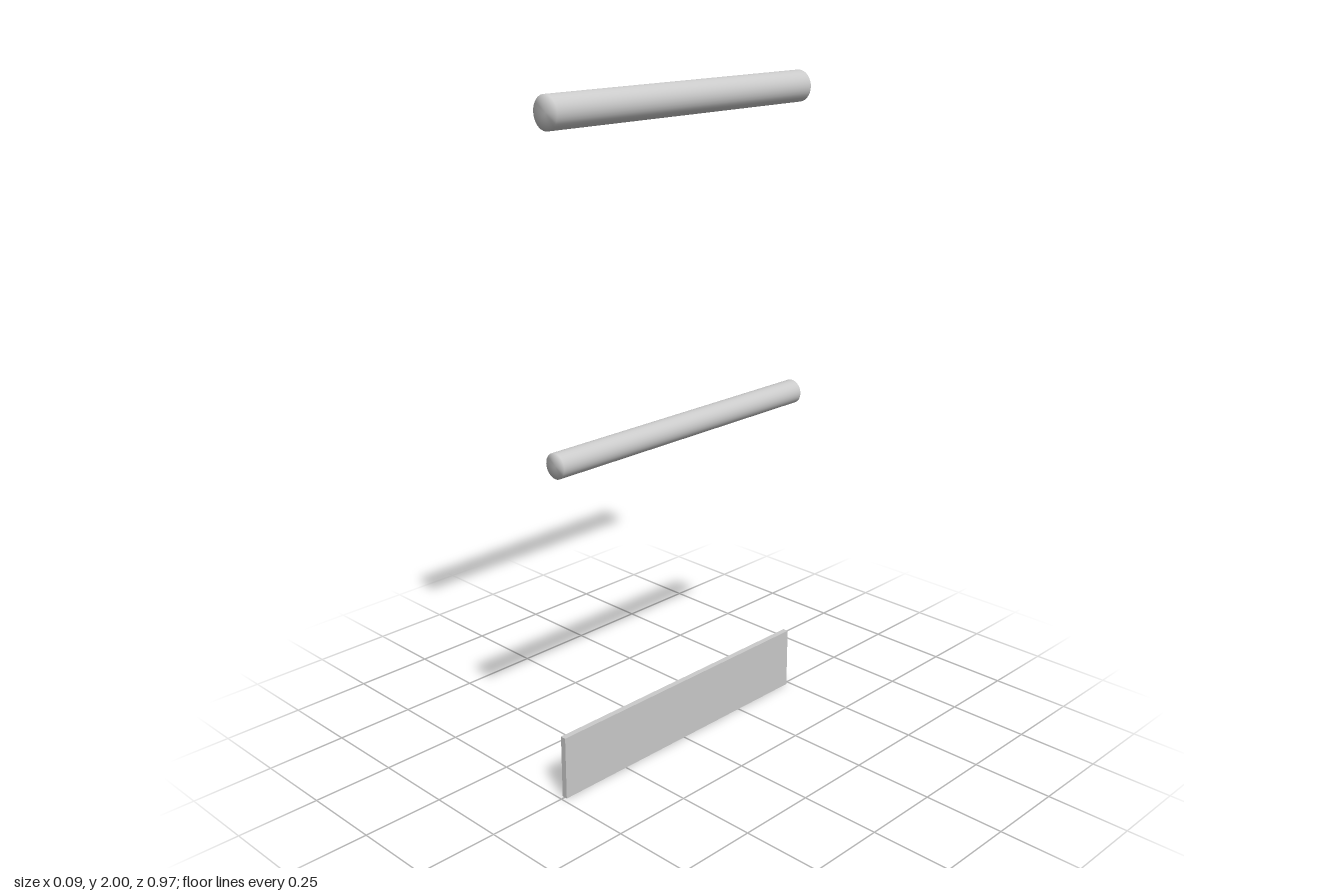
import * as THREE from 'three';
import { mergeVertices } from 'three/addons/utils/BufferGeometryUtils.js';

const LENGTH = 0.974;
const material = new THREE.MeshStandardMaterial({ color: 0xcccccc });

// Round bar along z, with normals blended across the end rims
function makeBar(name, radius, y) {
  let geometry = new THREE.CylinderGeometry(radius, radius, LENGTH, 32);
  geometry.deleteAttribute('uv');
  geometry.deleteAttribute('normal');
  geometry = mergeVertices(geometry);
  geometry.computeVertexNormals();
  geometry.rotateX(Math.PI / 2);
  const bar = new THREE.Mesh(geometry, material);
  bar.name = name;
  bar.position.y = y;
  return bar;
}

export function createModel() {
  const model = new THREE.Group();
  model.name = 'railing';

  // Handrail and thinner middle rail
  model.add(makeBar('handrail', 0.046, 1.954));
  model.add(makeBar('middleRail', 0.037, 1.02));

  // Thin upright board at floor level
  const board = new THREE.Mesh(new THREE.BoxGeometry(0.018, 0.196, LENGTH), material);
  board.name = 'toeBoard';
  board.position.y = 0.098;
  model.add(board);

  return model;
}
